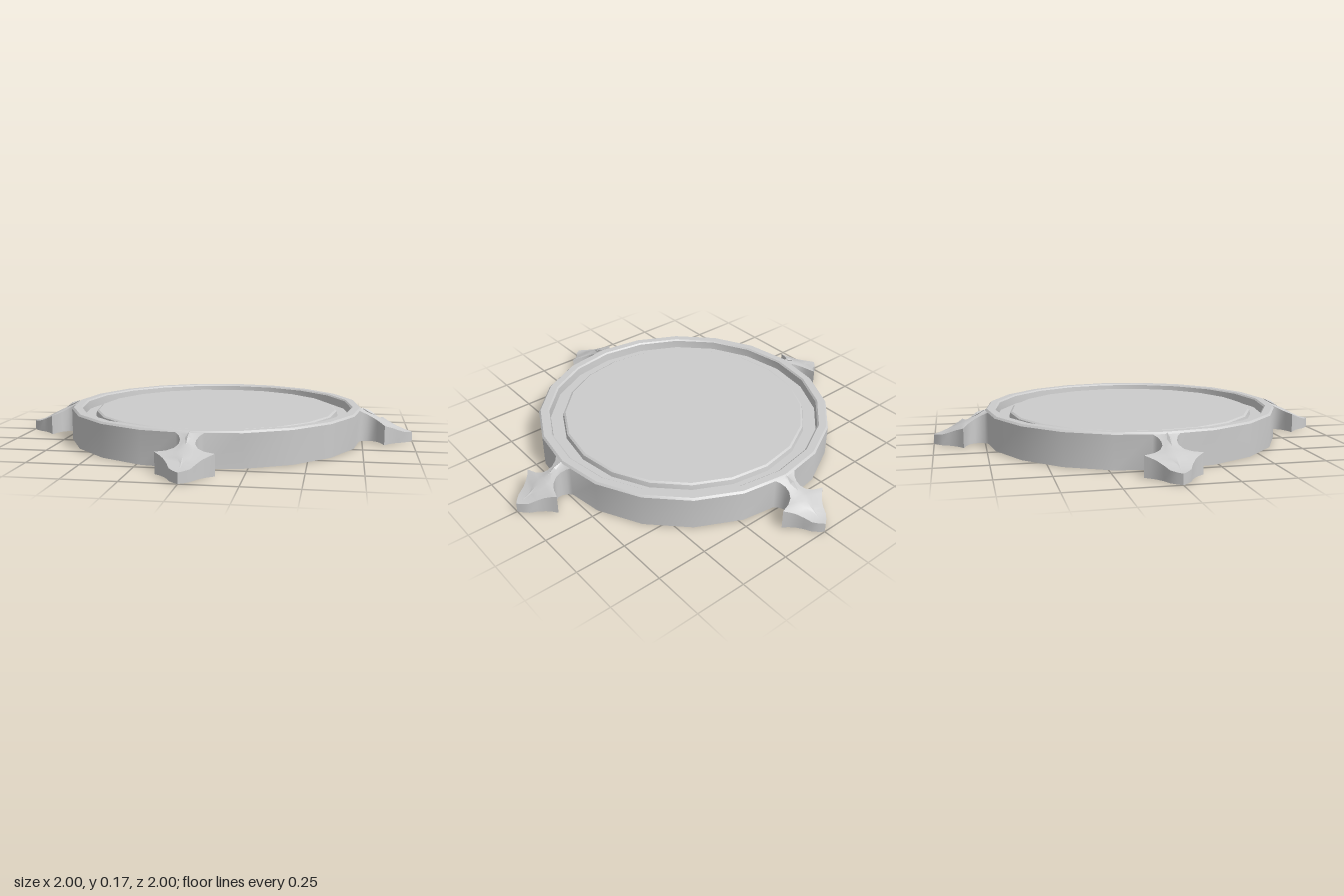
import * as THREE from 'three';
import { toCreasedNormals } from 'three/addons/utils/BufferGeometryUtils.js';

const SIDES = 20, R = 0.745, RIM_Y = 0.158;

// Finial cross-sections: distance from centre, half width, edge height, rib half width, ridge height
const ROWS = [
  [0.735, 0.062, 0.158, 0.008, 0.165],
  [0.75, 0.046, 0.148, 0.012, 0.160],
  [0.775, 0.035, 0.135, 0.017, 0.147],
  [0.80, 0.036, 0.122, 0.022, 0.134],
  [0.825, 0.052, 0.109, 0.028, 0.122],
  [0.843, 0.083, 0.101, 0.032, 0.114],
  [0.857, 0.13, 0.097, 0.033, 0.108],
  [0.875, 0.105, 0.088, 0.031, 0.099],
  [0.895, 0.084, 0.080, 0.023, 0.089],
  [0.925, 0.062, 0.066, 0.006, 0.072],
  [0.96, 0.045, 0.054, 0.002, 0.055],
  [0.983, 0.022, 0.050, 0.001, 0.050],
  [1.0, 0, 0.048, 0, 0.048],
];

const material = new THREE.MeshStandardMaterial({ color: 0xcccccc, side: THREE.DoubleSide });

function addMesh(parent, name, geometry) {
  const mesh = new THREE.Mesh(geometry, material);
  mesh.name = name;
  parent.add(mesh);
  return mesh;
}

// Joins equal-length rows of points into a smooth surface with sharp creases
function loft(rows) {
  const n = rows[0].length, index = [];
  for (let i = 0; i < rows.length - 1; i++) {
    for (let j = 0; j < n - 1; j++) {
      const a = i * n + j, b = a + n;
      index.push(a, a + 1, b, b, a + 1, b + 1);
    }
  }
  const geometry = new THREE.BufferGeometry();
  geometry.setAttribute('position', new THREE.Float32BufferAttribute(rows.flat(2), 3));
  geometry.setIndex(index);
  return toCreasedNormals(geometry, 0.6);
}

// Continuous skirt following the ring and the finial outlines
function skirtGeometry() {
  const quarter = [
    ...ROWS.map(([r, w, y]) => [r, y, -w]),
    ...ROWS.slice(0, -1).reverse().map(([r, w, y]) => [r, y, w]),
  ];
  for (let k = 1; k < SIDES / 4; k++) {
    const a = (k * 2 * Math.PI) / SIDES;
    quarter.push([R * Math.cos(a), RIM_Y, R * Math.sin(a)]);
  }
  const loop = [];
  for (let q = 0; q < 4; q++) {
    const c = Math.round(Math.cos(q * Math.PI / 2)), s = Math.round(Math.sin(q * Math.PI / 2));
    for (const [x, y, z] of quarter) loop.push([x * c - z * s, y, x * s + z * c]);
  }
  loop.push(loop[0]);
  return loft(loop.map(([x, y, z]) => [[x, 0, z], [x, y, z]]));
}

export function createModel() {
  const model = new THREE.Group();
  model.name = 'roundTray';

  addMesh(model, 'skirt', skirtGeometry());

  // Bevelled rim, sunken groove and raised central plate
  const profile = [
    [R, RIM_Y], [0.736, 0.167], [0.70, 0.167], [0.692, 0.160], [0.688, 0.12],
    [0.625, 0.12], [0.62, 0.143], [0.61, 0.149], [0, 0.149],
  ].map(([x, y]) => new THREE.Vector2(x, y));
  addMesh(model, 'rimAndPlate', toCreasedNormals(new THREE.LatheGeometry(profile, SIDES), 0.5));

  // Four sloping finials with a raised almond rib and a small leaf at the neck
  const top = loft(ROWS.map(([r, w, y, rib, ridge]) => {
    const ribY = y + (ridge - y) * 0.35;
    return [[r, y, -w], [r, ribY, -rib], [r, ridge, 0], [r, ribY, rib], [r, y, w]];
  }));
  for (let q = 0; q < 4; q++) {
    const finial = new THREE.Group();
    finial.name = 'finial';
    finial.rotation.y = q * Math.PI / 2;
    addMesh(finial, 'finialTop', top);
    const leaf = addMesh(finial, 'neckLeaf', new THREE.OctahedronGeometry(1));
    leaf.scale.set(0.045, 0.009, 0.012);
    leaf.position.set(0.782, 0.145, 0);
    leaf.rotation.z = -0.48;
    model.add(finial);
  }
  return model;
}
